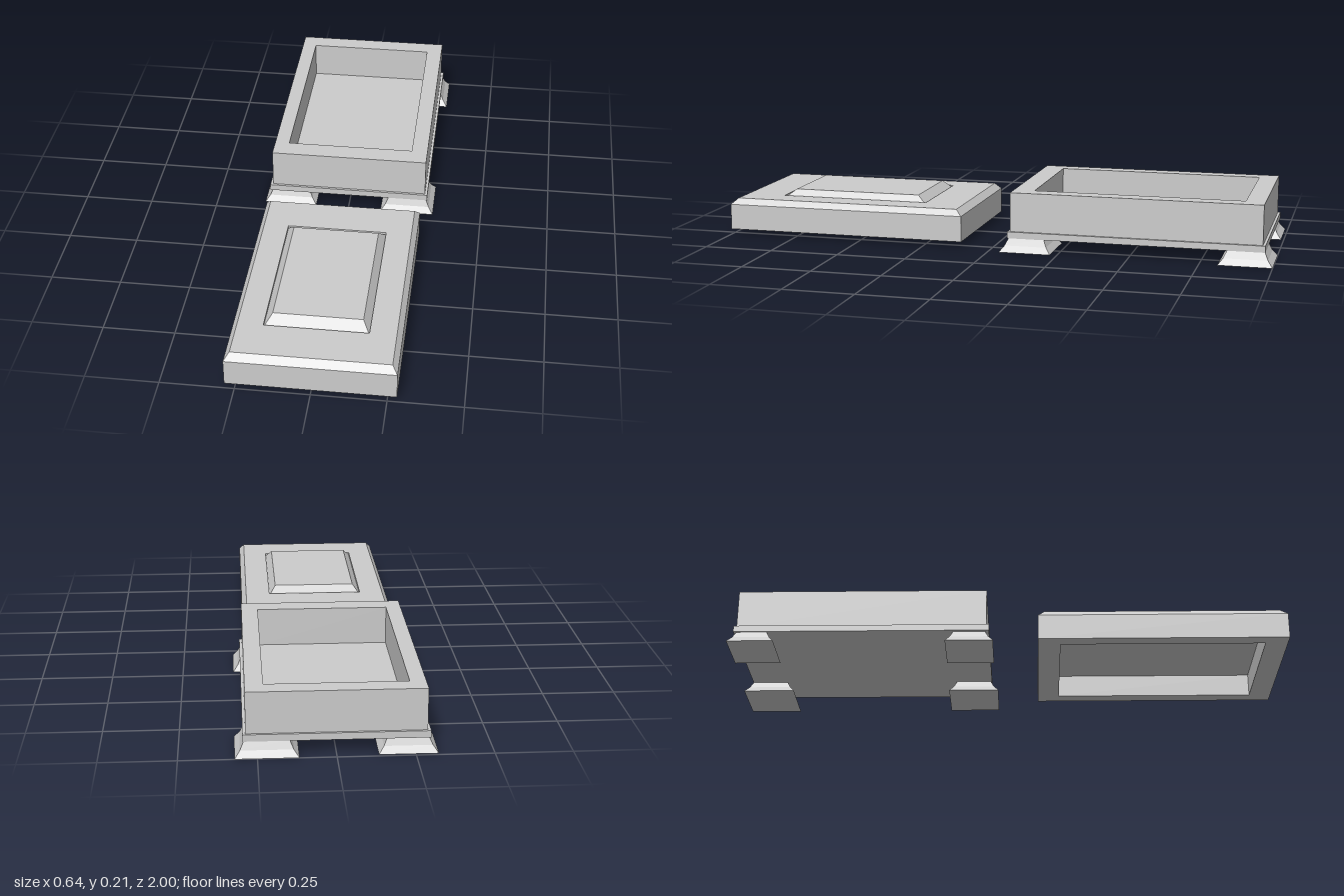
import * as THREE from 'three';

const material = new THREE.MeshStandardMaterial({ color: 0xcccccc, flatShading: true });

// Rectangular ring at height y
const ring = (x0, x1, z0, z1, y) => [[x0, y, z1], [x1, y, z1], [x1, y, z0], [x0, y, z0]];

// Skin a run of rings, closing the first (facing down) and the last (facing up)
function loft(name, rings) {
  const pos = [];
  const quad = (a, b, c, d) => pos.push(...a, ...b, ...c, ...a, ...c, ...d);
  for (let r = 0; r < rings.length - 1; r++) {
    const lo = rings[r], hi = rings[r + 1];
    for (let i = 0; i < 4; i++) {
      const j = (i + 1) % 4;
      quad(lo[i], lo[j], hi[j], hi[i]);
    }
  }
  quad(...[...rings[0]].reverse());
  quad(...rings[rings.length - 1]);
  const geometry = new THREE.BufferGeometry();
  geometry.setAttribute('position', new THREE.Float32BufferAttribute(pos, 3));
  geometry.computeVertexNormals();
  const mesh = new THREE.Mesh(geometry, material);
  mesh.name = name;
  return mesh;
}

function createChest() {
  const chest = new THREE.Group();
  chest.name = 'chest';

  // Thick-walled open box
  chest.add(loft('openBox', [
    ring(-0.29, 0.287, -0.963, -0.073, 0.065),
    ring(-0.29, 0.287, -0.963, -0.073, 0.21),
    ring(-0.237, 0.228, -0.895, -0.148, 0.21),
    ring(-0.237, 0.228, -0.895, -0.148, 0.075),
  ]));

  // Thin projecting base slab
  chest.add(loft('baseSlab', [
    ring(-0.3, 0.296, -0.972, -0.064, 0.047),
    ring(-0.3, 0.296, -0.972, -0.064, 0.07),
  ]));

  // Flared corner feet, slightly uneven: x0, x1, z0, z1 at the ground
  const feet = [
    ['backRightFoot', -0.323, -0.133, -0.99, -0.825],
    ['backLeftFoot', 0.118, 0.322, -1.0, -0.813],
    ['frontRightFoot', -0.318, -0.123, -0.22, -0.05],
    ['frontLeftFoot', 0.122, 0.32, -0.225, -0.04],
  ];
  for (const [name, x0, x1, z0, z1] of feet) {
    const steps = [[0, 0], [0.017, 0.022], [0.029, 0.048]]; // inset, height
    chest.add(loft(name, steps.map(([s, y]) => ring(x0 + s, x1 - s, z0 + s, z1 - s, y))));
  }
  return chest;
}

function createLid() {
  const lid = new THREE.Group();
  lid.name = 'lid';

  // Hollow underside, straight sides, bevelled top with a recess for the panel
  lid.add(loft('lidBody', [
    ring(-0.233, 0.232, 0.19, 0.92, 0.103),
    ring(-0.233, 0.232, 0.19, 0.92, 0.02),
    ring(-0.283, 0.282, 0.11, 1.0, 0.02),
    ring(-0.283, 0.282, 0.11, 1.0, 0.113),
    ring(-0.265, 0.264, 0.132, 0.976, 0.135),
    ring(-0.178, 0.174, 0.275, 0.83, 0.135),
    ring(-0.178, 0.174, 0.275, 0.83, 0.124),
  ]));

  // Bevelled raised panel
  lid.add(loft('raisedPanel', [
    ring(-0.178, 0.174, 0.275, 0.83, 0.125),
    ring(-0.152, 0.15, 0.311, 0.79, 0.157),
  ]));
  return lid;
}

export function createModel() {
  const model = new THREE.Group();
  model.name = 'chestWithLid';
  model.add(createChest(), createLid());
  return model;
}
